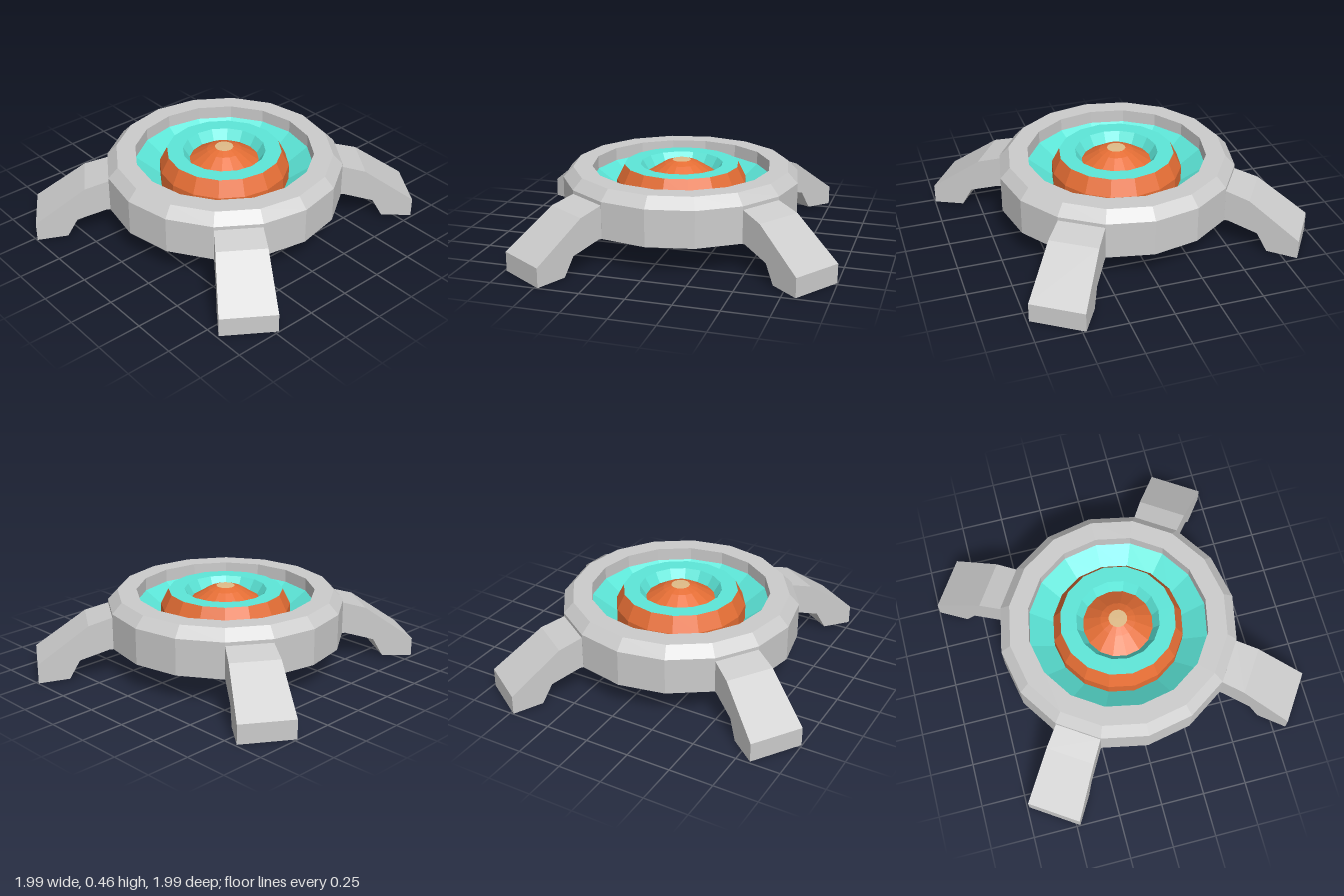
import * as THREE from 'three';

const SIDES = 16;
const material = (color) => new THREE.MeshStandardMaterial({ color, flatShading: true });
const grey = material(0xcccccc);
const teal = material(0x5ce6d8);
const orange = material(0xe56e35);
const tan = material(0xe0bc88);

// Faceted ring or disc, profile given as [radius, height] from outside to inside
function turned(name, profile, mat) {
  const points = profile.map(([r, y]) => new THREE.Vector2(r, y));
  const mesh = new THREE.Mesh(new THREE.LatheGeometry(points, SIDES), mat);
  mesh.name = name;
  return mesh;
}

// Leg: side profile extruded across its width, widening towards the foot
function legGeometry() {
  const profile = [
    [0.65, 0.165], [0.69, 0.165], [0.86, 0.115], [0.92, 0.01], [1.096, 0],
    [1.096, 0.11], [0.805, 0.315], [0.667, 0.355], [0.65, 0.355],
  ];
  const shape = new THREE.Shape(profile.map(([r, y]) => new THREE.Vector2(r, y)));
  const geometry = new THREE.ExtrudeGeometry(shape, { depth: 1, bevelEnabled: false });
  geometry.translate(0, 0, -0.5);
  const p = geometry.attributes.position;
  for (let i = 0; i < p.count; i++) {
    const t = (p.getX(i) - 0.667) / 0.429;
    p.setZ(i, p.getZ(i) * (0.263 + 0.047 * t));
  }
  geometry.computeVertexNormals();
  return geometry;
}

export function createModel() {
  const model = new THREE.Group();
  model.name = 'launchPad';

  model.add(
    // Housing with bevelled rim and inner wall
    turned('body', [[0, 0.165], [0.682, 0.165], [0.682, 0.375], [0.625, 0.435], [0.515, 0.435], [0.515, 0.36]], grey),
    // Sloping floor inside the rim
    turned('bowl', [[0.515, 0.36], [0.375, 0.26]], teal),
    // Raised collar
    turned('collar', [[0.375, 0.26], [0.375, 0.35], [0.33, 0.44]], orange),
    turned('innerRing', [[0.33, 0.44], [0.238, 0.44], [0.2, 0.38]], teal),
    // Centre button
    turned('dome', [[0.2, 0.38], [0.1, 0.443], [0.053, 0.46]], orange),
    turned('domeTip', [[0.053, 0.46], [0, 0.461]], tan),
  );

  // Four legs, each on the middle of a body facet
  const geometry = legGeometry();
  for (let i = 0; i < 4; i++) {
    const leg = new THREE.Mesh(geometry, grey);
    leg.name = 'leg' + (i + 1);
    leg.rotation.y = THREE.MathUtils.degToRad(-33.75 + 90 * i);
    model.add(leg);
  }
  return model;
}
